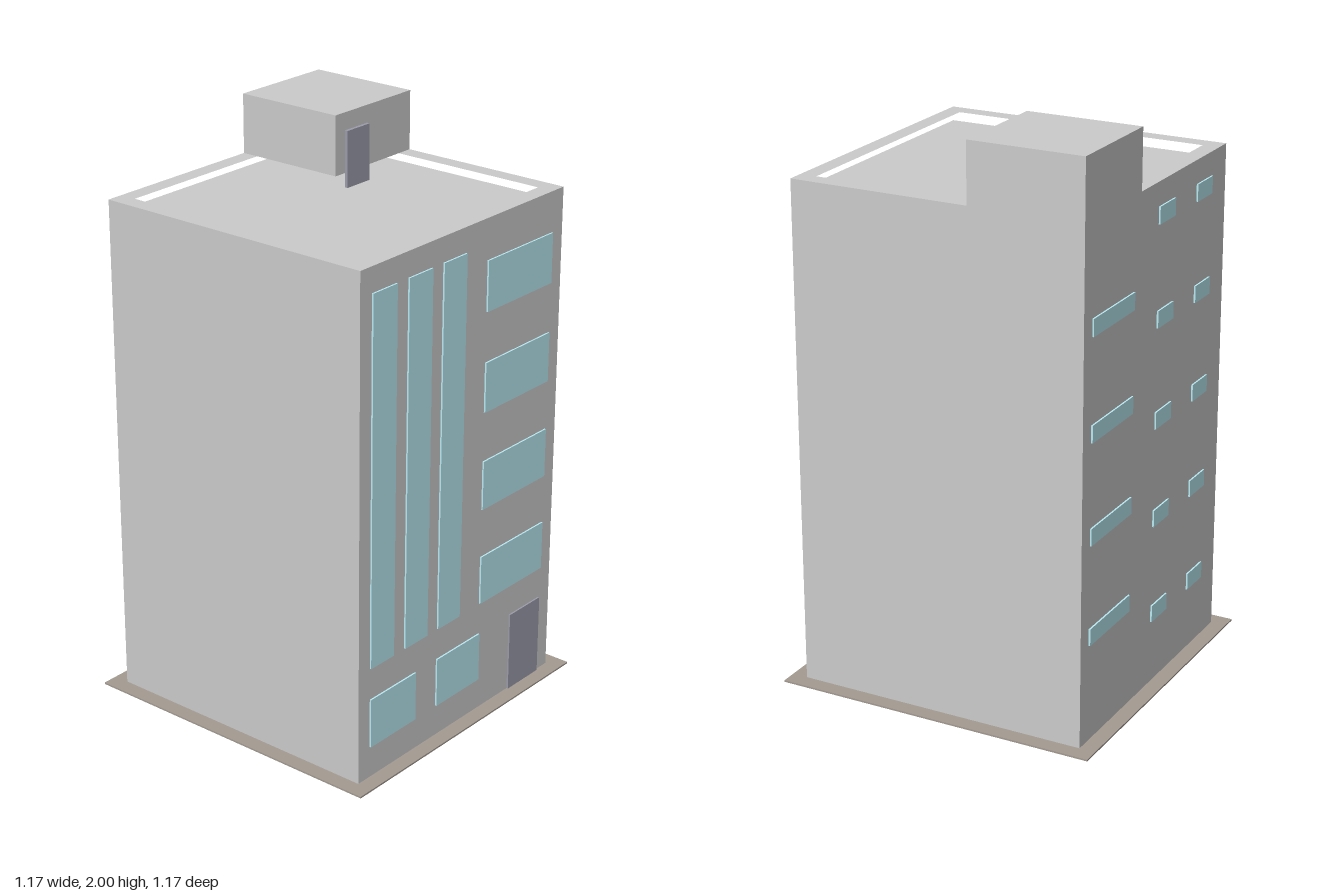
import * as THREE from 'three';

const material = (color) => new THREE.MeshStandardMaterial({ color });
const grey = material(0xcccccc);
const glass = material(0xb9eaf3);
const doorPaint = material(0x9c9cab);
const paving = material(0xa49b92);

const HALF = 0.527;      // half width of the tower
const BASE = 0.006;      // slab thickness
const ROOF = 1.74;       // roof deck height
const RIM = 1.79;        // parapet top
const STOREY = 0.353;
const PANE = 0.006;      // how far panes stand out from the wall

// Box given by its minimum and maximum along each axis
function block(name, mat, [x0, x1], [y0, y1], [z0, z1]) {
  const mesh = new THREE.Mesh(new THREE.BoxGeometry(x1 - x0, y1 - y0, z1 - z0), mat);
  mesh.position.set((x0 + x1) / 2, (y0 + y1) / 2, (z0 + z1) / 2);
  mesh.name = name;
  return mesh;
}

// Parapet ring; its hole is L-shaped so it also carries the stair house
function parapet(house) {
  const outline = new THREE.Shape([
    [-HALF, -HALF], [HALF, -HALF], [HALF, HALF], [-HALF, HALF],
  ].map(([x, z]) => new THREE.Vector2(x, -z)));
  const inner = 0.467;
  outline.holes.push(new THREE.Path([
    [house.x, -inner], [inner, -inner], [inner, inner],
    [-inner, inner], [-inner, house.z], [house.x, house.z],
  ].map(([x, z]) => new THREE.Vector2(x, -z))));
  const geometry = new THREE.ExtrudeGeometry(outline, { depth: RIM - ROOF, bevelEnabled: false });
  geometry.rotateX(-Math.PI / 2);
  const mesh = new THREE.Mesh(geometry, grey);
  mesh.position.y = ROOF;
  mesh.name = 'parapet';
  return mesh;
}

export function createModel() {
  const model = new THREE.Group();
  model.name = 'building';
  const wall = [-HALF, HALF];
  const house = { x: -0.118, z: -0.13 };

  // Slab, tower, parapet and rooftop stair house
  model.add(block('pavingSlab', paving, [-0.583, 0.583], [0, BASE], [-0.583, 0.583]));
  model.add(block('tower', grey, wall, [BASE, ROOF], wall));
  model.add(parapet(house));
  model.add(block('stairHouse', grey, [-HALF, house.x], [RIM, 2], [-HALF, house.z]));
  model.add(block('roofDoor', doorPaint, [house.x, house.x + 0.012], [ROOF, 1.938], [-0.294, -0.178]));

  // Entrance side (+x)
  const entrance = new THREE.Group();
  entrance.name = 'entranceSide';
  const out = [HALF, HALF + PANE];
  for (const z of [0.353, 0.176, 0]) {
    entrance.add(block('tallWindow', glass, out, [0.412, 1.703], [z, z + 0.118]));
  }
  for (let i = 0; i < 4; i++) {
    const y = 0.412 + i * STOREY;
    entrance.add(block('wideWindow', glass, out, [y, y + 0.176], [-0.468, -0.115]));
  }
  for (const z of [0.235, -0.115]) {
    entrance.add(block('groundFloorWindow', glass, out, [0.12, 0.297], [z, z + 0.235]));
  }
  entrance.add(block('entranceDoor', doorPaint, out, [BASE, 0.297], [-0.465, -0.292]));
  model.add(entrance);

  // Opposite side (-x): slot windows at the landings, small windows per storey
  const rear = new THREE.Group();
  rear.name = 'slotWindowSide';
  const away = [-HALF - PANE, -HALF];
  for (let i = 0; i < 5; i++) {
    const y = 0.235 + i * STOREY;
    for (const z of [0, 0.292]) {
      rear.add(block('smallWindow', glass, away, [y, y + 0.06], [z, z + 0.118]));
    }
    if (i < 4) {
      rear.add(block('slotWindow', glass, away, [y + 0.118, y + 0.178], [-0.47, -0.178]));
    }
  }
  model.add(rear);

  return model;
}
